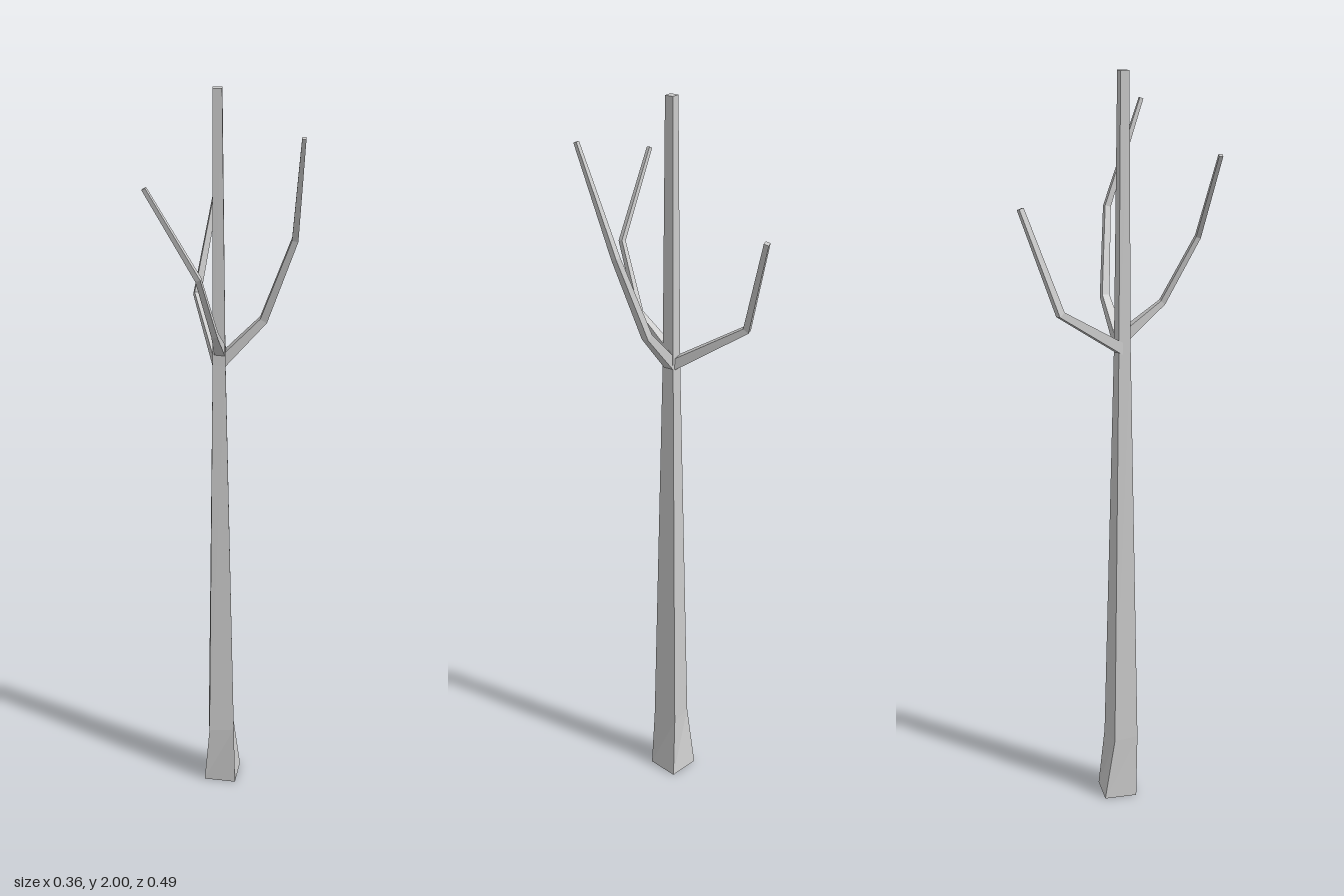
import * as THREE from 'three';

// Skin a stack of four-cornered rings (counter-clockwise seen from the far end) and cap both ends.
function loft(name, rings, material) {
  const pos = [];
  const quad = (a, b, c, d) => [a, b, c, a, c, d].forEach((p) => pos.push(p.x, p.y, p.z));
  for (let r = 0; r + 1 < rings.length; r++) {
    for (let i = 0; i < 4; i++) {
      const j = (i + 1) % 4;
      quad(rings[r][i], rings[r][j], rings[r + 1][j], rings[r + 1][i]);
    }
  }
  quad(...[...rings[0]].reverse());
  quad(...rings[rings.length - 1]);
  const geometry = new THREE.BufferGeometry();
  geometry.setAttribute('position', new THREE.Float32BufferAttribute(pos, 3));
  geometry.computeVertexNormals();
  const mesh = new THREE.Mesh(geometry, material);
  mesh.name = name;
  return mesh;
}

// Square ring of half-width h around a centre, spanned by u and v.
function square(center, u, v, h) {
  return [[-1, -1], [1, -1], [1, 1], [-1, 1]].map(([a, b]) =>
    center.clone().addScaledVector(u, a * h).addScaledVector(v, b * h));
}

// Tapering limb along a bent path, its frame carried along from bend to bend.
function limb(name, path, widths, material) {
  const pts = path.map((p) => new THREE.Vector3(...p));
  const dirs = pts.slice(1).map((p, i) => p.clone().sub(pts[i]).normalize());
  const u = new THREE.Vector3(0, 1, 0).cross(dirs[0]).normalize();
  const rings = pts.map((p, i) => {
    const before = dirs[Math.max(i - 1, 0)];
    const after = dirs[Math.min(i, dirs.length - 1)];
    const t = before.clone().add(after).normalize();
    u.addScaledVector(t, -u.dot(t)).normalize();
    return square(p, u, t.clone().cross(u), widths[i] / 2);
  });
  return loft(name, rings, material);
}

export function createModel() {
  const model = new THREE.Group();
  model.name = 'bareTree';
  const material = new THREE.MeshStandardMaterial({ color: 0xcccccc, flatShading: true });

  // Trunk: flared square foot, then a slightly twisted taper. Rows are x, y, z, half-width, twist.
  const trunk = [
    [-0.042, 0, 0.018, 0.045, 0],
    [-0.043, 0.18, 0.028, 0.035, 12],
    [-0.043, 1.3, 0.028, 0.0165, 10],
    [-0.043, 2, 0.028, 0.0115, 8],
  ].map(([x, y, z, h, twist]) => {
    const a = THREE.MathUtils.degToRad(twist);
    const u = new THREE.Vector3(Math.cos(a), 0, -Math.sin(a));
    const v = new THREE.Vector3(-Math.sin(a), 0, -Math.cos(a));
    return square(new THREE.Vector3(x, y, z), u, v, h);
  });
  model.add(loft('trunk', trunk, material));

  // Three bent branches leaving the trunk at about the same height
  model.add(limb('leftBranch',
    [[-0.04, 1.305, 0.026], [0.068, 1.42, 0.006], [0.148, 1.64, 0.03], [0.177, 1.912, 0.127]],
    [0.028, 0.02, 0.016, 0.01], material));
  model.add(limb('backBranch',
    [[-0.045, 1.305, 0.025], [-0.133, 1.425, -0.15], [-0.095, 1.683, -0.239]],
    [0.028, 0.018, 0.013], material));
  model.add(limb('frontBranch',
    [[-0.04, 1.335, 0.028], [-0.034, 1.42, 0.135], [-0.057, 1.59, 0.22], [-0.178, 1.808, 0.238]],
    [0.028, 0.015, 0.013, 0.01], material));
  return model;
}
